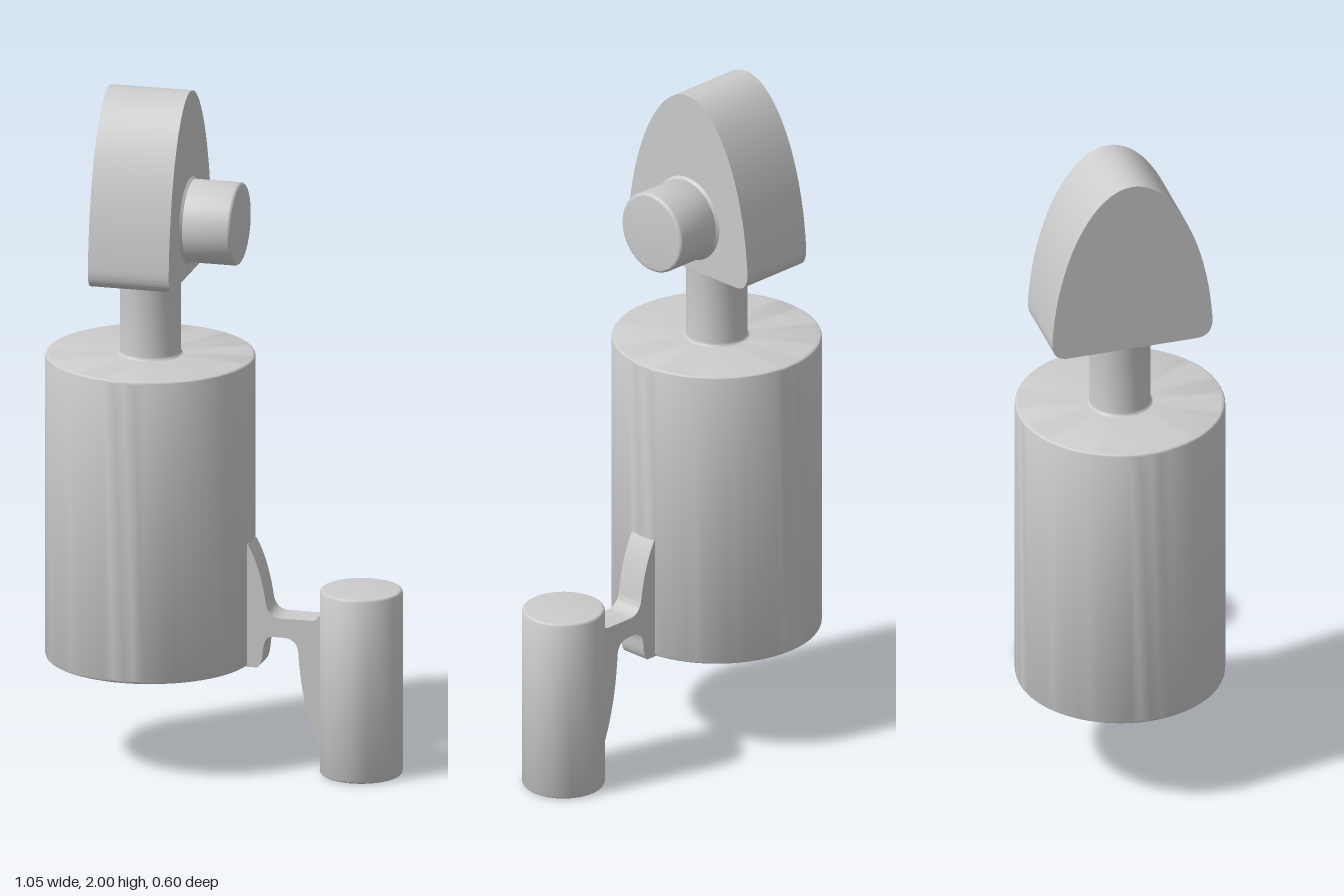
import * as THREE from 'three';
import { toCreasedNormals } from 'three/addons/utils/BufferGeometryUtils.js';

const material = new THREE.MeshStandardMaterial({ color: 0xcccccc });

function addMesh(group, name, geometry) {
  const mesh = new THREE.Mesh(toCreasedNormals(geometry, 0.6), material);
  mesh.name = name;
  group.add(mesh);
  return mesh;
}

// Upright cylinder from y = 0 to h with small rounded rims
function roundedCylinder(r, h, e = 0.01) {
  const shape = new THREE.Path();
  shape.moveTo(0, 0);
  shape.lineTo(r - e, 0);
  shape.quadraticCurveTo(r, 0, r, e);
  shape.lineTo(r, h - e);
  shape.quadraticCurveTo(r, h, r - e, h);
  shape.lineTo(0, h);
  return new THREE.LatheGeometry(shape.getPoints(4), 64);
}

// Stem that flares slightly where it meets the part at each end
function flaredStem(r, h, e = 0.012) {
  const path = new THREE.Path();
  path.moveTo(r + e, 0);
  path.quadraticCurveTo(r, 0, r, e);
  path.lineTo(r, h - e);
  path.quadraticCurveTo(r, h, r + e, h);
  return new THREE.LatheGeometry(path.getPoints(4), 48);
}

// Arched head outline, drawn across z and y
function headShape() {
  const s = new THREE.Shape();
  s.moveTo(-0.19, 1.457);
  s.lineTo(0.19, 1.457);
  s.bezierCurveTo(0.225, 1.457, 0.242, 1.475, 0.24, 1.52);
  s.bezierCurveTo(0.225, 1.78, 0.12, 2, 0, 2);
  s.bezierCurveTo(-0.12, 2, -0.225, 1.78, -0.24, 1.52);
  s.bezierCurveTo(-0.242, 1.475, -0.225, 1.457, -0.19, 1.457);
  return s;
}

// Bracket outline with a curved gusset against each cylinder
function bracketShape() {
  const s = new THREE.Shape();
  s.moveTo(0.04, 0.305);
  s.lineTo(0.105, 0.305);
  s.quadraticCurveTo(0.118, 0.31, 0.122, 0.35);
  s.quadraticCurveTo(0.125, 0.4, 0.15, 0.4);
  s.lineTo(0.18, 0.4);
  s.quadraticCurveTo(0.226, 0.4, 0.228, 0.355);
  s.quadraticCurveTo(0.238, 0.2, 0.285, 0.09);
  s.lineTo(0.33, 0.09);
  s.lineTo(0.33, 0.472);
  s.lineTo(0.285, 0.472);
  s.quadraticCurveTo(0.285, 0.458, 0.265, 0.457);
  s.lineTo(0.18, 0.457);
  s.quadraticCurveTo(0.14, 0.457, 0.132, 0.495);
  s.quadraticCurveTo(0.115, 0.61, 0.078, 0.67);
  s.lineTo(0.04, 0.67);
  s.closePath();
  return s;
}

export function createModel() {
  const group = new THREE.Group();

  // Large body and the neck above it
  addMesh(group, 'body', roundedCylinder(0.302, 0.905)).position.set(-0.223, 0.305, 0);
  addMesh(group, 'neck', flaredStem(0.088, 0.249)).position.set(-0.223, 1.209, 0);

  // Arched head, extruded along x
  const head = new THREE.ExtrudeGeometry(headShape(), {
    depth: 0.24, bevelEnabled: false, curveSegments: 20,
  });
  head.rotateY(Math.PI / 2);
  addMesh(group, 'head', head).position.x = -0.345;

  // Round knob on the left face of the head, with a small base fillet
  const knob = roundedCylinder(0.12, 0.17);
  knob.rotateZ(-Math.PI / 2);
  addMesh(group, 'knob', knob).position.set(-0.125, 1.615, 0);
  const fillet = new THREE.CylinderGeometry(0.119, 0.127, 0.009, 64, 1, true);
  fillet.rotateZ(-Math.PI / 2);
  addMesh(group, 'knobFillet', fillet).position.set(-0.1005, 1.615, 0);

  // Small side cylinder and the bracket carrying it
  addMesh(group, 'sideCylinder', roundedCylinder(0.119, 0.55)).position.set(0.403, 0, 0);
  const bracket = new THREE.ExtrudeGeometry(bracketShape(), {
    depth: 0.09, bevelEnabled: false, curveSegments: 10,
  });
  addMesh(group, 'bracket', bracket).position.z = -0.045;

  return group;
}
